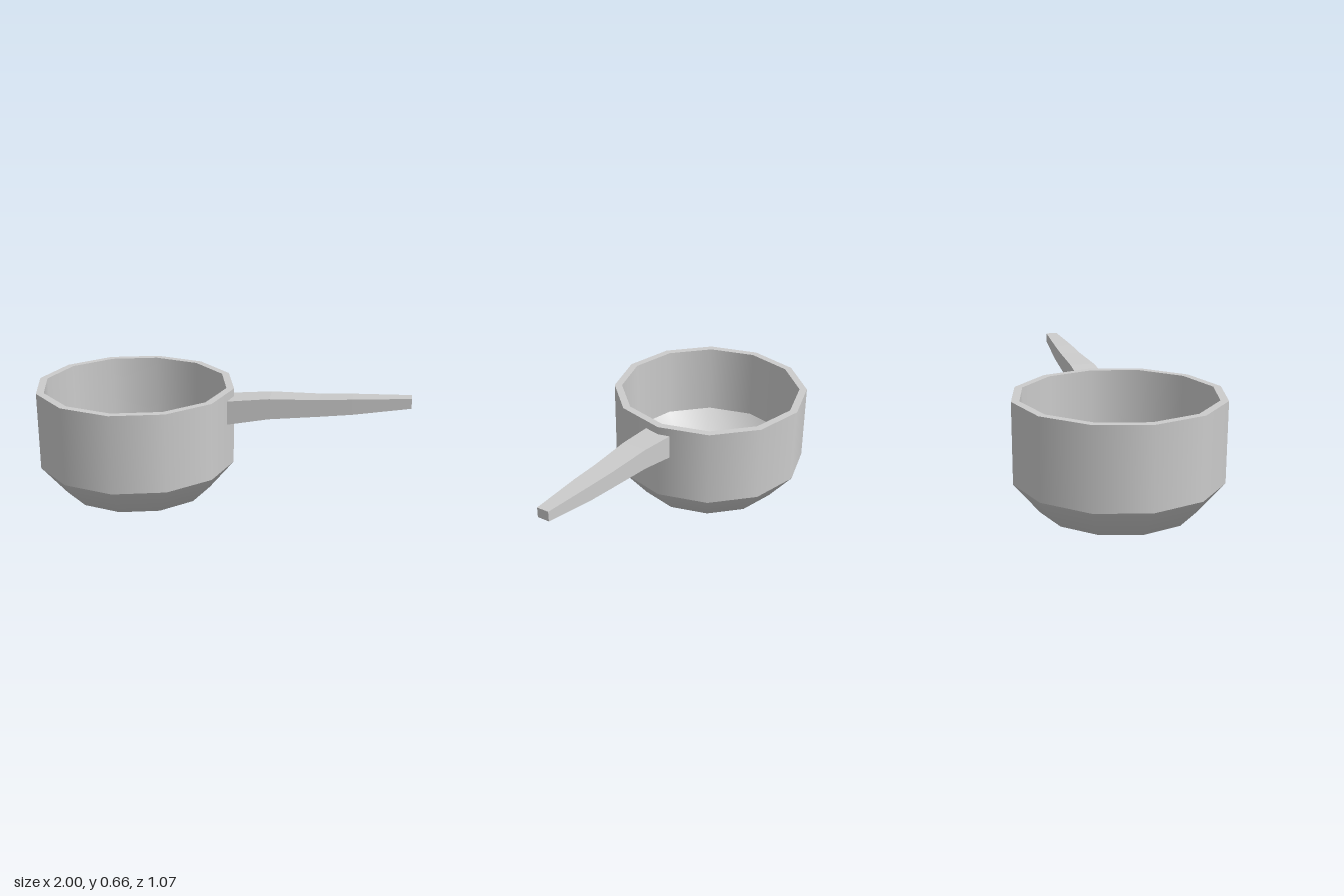
import * as THREE from 'three';

const POT_X = -0.463;
const SIDES = 12;

export function createModel() {
  const model = new THREE.Group();
  const mat = new THREE.MeshStandardMaterial({ color: 0xcccccc });
  const flat = new THREE.MeshStandardMaterial({ color: 0xcccccc, flatShading: true });

  // Pot: one smooth twelve-sided lathe per surface, so edges between them stay sharp
  const pot = new THREE.Group();
  pot.name = 'pot';
  pot.position.x = POT_X;
  const surfaces = {
    outerBase: [[0, 0], [0.177, 0], [0.405, 0.07], [0.537, 0.23]],
    outerWall: [[0.537, 0.23], [0.537, 0.648]],
    rim: [[0.537, 0.648], [0.496, 0.648]],
    innerWall: [[0.496, 0.648], [0.496, 0.25]],
    innerFloor: [[0.496, 0.25], [0.375, 0.105], [0.165, 0.04], [0, 0.04]],
  };
  for (const [name, profile] of Object.entries(surfaces)) {
    const points = profile.map(([r, y]) => new THREE.Vector2(r, y));
    const mesh = new THREE.Mesh(new THREE.LatheGeometry(points, SIDES), mat);
    mesh.name = name;
    pot.add(mesh);
  }
  model.add(pot);

  // Handle: box whose rings follow tapering stations [x, bottom, top, half width]
  const stations = [
    [0.05, 0.474, 0.603, 0.076],
    [0.27, 0.515, 0.626, 0.067],
    [0.53, 0.541, 0.632, 0.056],
    [0.7, 0.56, 0.643, 0.05],
    [1.0, 0.605, 0.658, 0.032],
  ];
  const n = stations.length - 1;
  const geo = new THREE.BoxGeometry(1, 1, 1, n, 1, 1);
  const p = geo.attributes.position;
  for (let i = 0; i < p.count; i++) {
    const [x, bottom, top, half] = stations[Math.round((p.getX(i) + 0.5) * n)];
    p.setXYZ(i, x, p.getY(i) > 0 ? top : bottom, 0.013 + Math.sign(p.getZ(i)) * half);
  }
  geo.computeVertexNormals();
  const handle = new THREE.Mesh(geo, flat);
  handle.name = 'handle';
  model.add(handle);

  return model;
}
